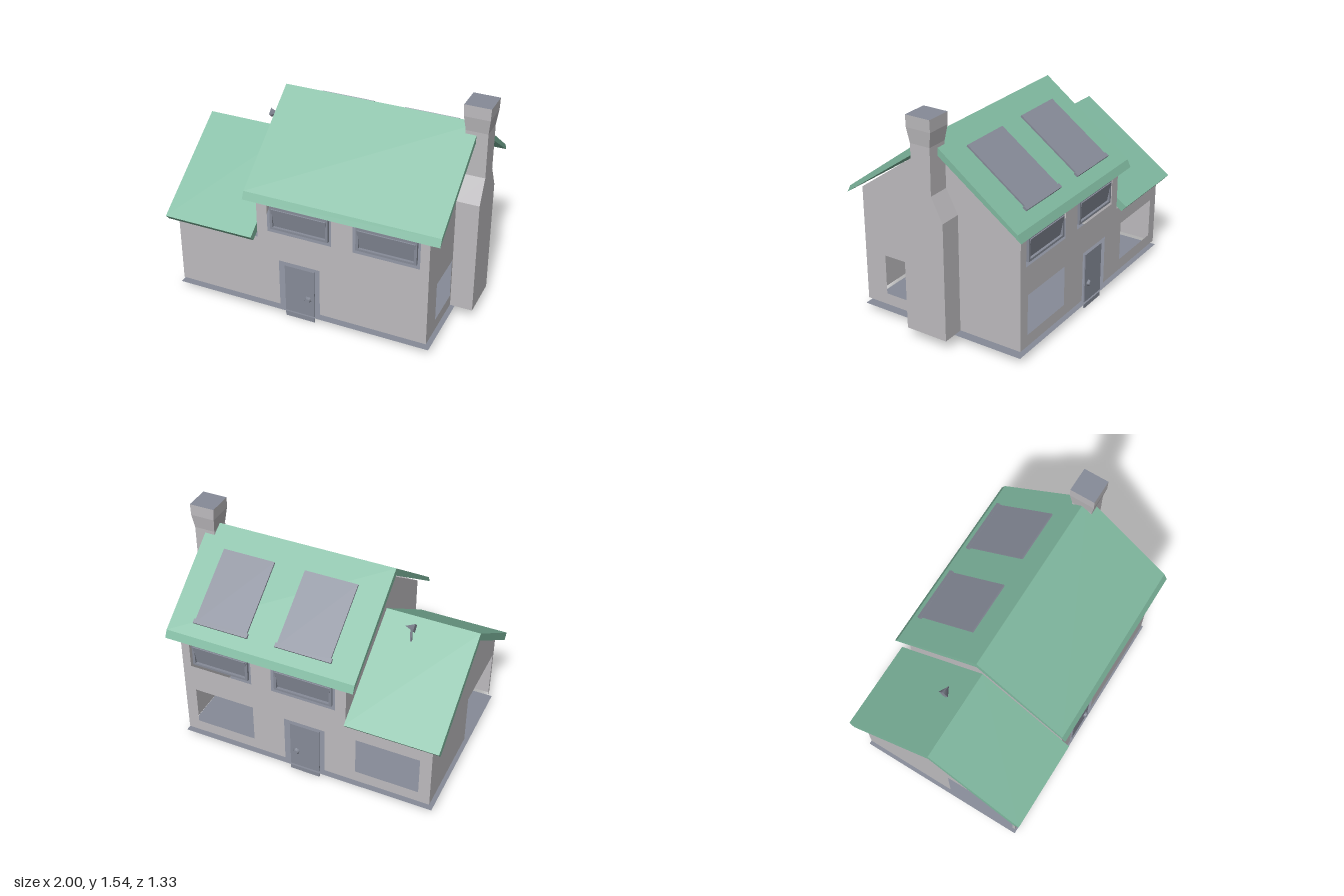
import * as THREE from 'three';

const mat = (name, color, side = THREE.FrontSide) => {
  const m = new THREE.MeshStandardMaterial({ color, side });
  m.name = name;
  return m;
};

const rect = (C, x0, x1, y0, y1) => {
  const s = new C();
  s.moveTo(x0, y0); s.lineTo(x1, y0); s.lineTo(x1, y1); s.lineTo(x0, y1); s.closePath();
  return s;
};
const poly = (pts) => new THREE.Shape(pts.map(([x, y]) => new THREE.Vector2(x, y)));

// Triangles from points and convex faces
function faces(points, list) {
  const pos = [];
  for (const f of list)
    for (let i = 1; i < f.length - 1; i++) pos.push(...points[f[0]], ...points[f[i]], ...points[f[i + 1]]);
  const g = new THREE.BufferGeometry();
  g.setAttribute('position', new THREE.Float32BufferAttribute(pos, 3));
  g.computeVertexNormals();
  return g;
}

export function createModel() {
  const house = new THREE.Group();
  house.name = 'house';
  const wall = mat('wall grey', 0xbdbbbe, THREE.DoubleSide);
  const green = mat('roof green', 0x80b9a0);
  const slate = mat('slate grey', 0x868b98);

  const add = (name, geo, material, parent = house) => {
    const m = new THREE.Mesh(geo, material);
    m.name = name;
    parent.add(m);
    return m;
  };
  const box = (name, w, h, d, x, y, z, parent = house) => {
    const m = add(name, new THREE.BoxGeometry(w, h, d), slate, parent);
    m.position.set(x, y, z);
    return m;
  };

  const windowXs = [-0.05, 0.545];

  // Long walls with a doorway notch and upper window openings
  const longWall = (name, z, lowerWindows) => {
    const s = poly([[-0.94, 0.08], [-0.2, 0.08], [-0.2, 0.43], [0.09, 0.43], [0.09, 0.08],
      [0.83, 0.08], [0.83, 0.89], [-0.35, 0.89], [-0.35, 0.575], [-0.94, 0.575]]);
    for (const x of windowXs) s.holes.push(rect(THREE.Path, x - 0.225, x + 0.225, 0.64, 0.86));
    for (const [a, b] of lowerWindows) s.holes.push(rect(THREE.Path, a, b, 0.16, 0.44));
    add(name, new THREE.ShapeGeometry(s), wall).position.z = z;
  };
  longWall('frontWall', 0.6, []);
  longWall('backWall', -0.6, [[0.32, 0.75], [-0.86, -0.42]]);

  // Gable walls, drawn as (z, y) outlines
  const gable = (name, x, shape) => {
    const m = add(name, new THREE.ShapeGeometry(shape), wall);
    m.rotation.y = -Math.PI / 2;
    m.position.x = x;
  };
  const right = poly([[-0.6, 0.08], [0.6, 0.08], [0.6, 0.89], [0, 1.32], [-0.6, 0.89]]);
  right.holes.push(rect(THREE.Path, 0.16, 0.44, 0.16, 0.44));
  gable('rightGable', 0.83, right);
  gable('wingGable', -0.94, poly([[-0.6, 0.08], [0.07, 0.08], [0.07, 0.44], [0.58, 0.44],
    [0.58, 0.08], [0.6, 0.08], [0.6, 0.575], [0, 1.0], [-0.6, 0.575]]));
  gable('upperLeftGable', -0.35, poly([[-0.6, 0.575], [0, 1.0], [0.6, 0.575], [0.6, 0.89],
    [0, 1.32], [-0.6, 0.89]]));

  // Pitched roofs: chevron profiles extruded along x
  const roof = (name, x0, x1, ridge, under, outer, tip) => {
    const [oz, oy] = outer, [tz, ty] = tip;
    const s = poly([[-tz, ty], [0, under], [tz, ty], [oz, oy], [0, ridge], [-oz, oy]]);
    const g = new THREE.ExtrudeGeometry(s, { depth: x1 - x0, bevelEnabled: false });
    g.rotateY(Math.PI / 2);
    g.translate(x0, 0, 0);
    add(name, g, green);
  };
  roof('mainRoof', -0.42, 0.91, 1.39, 1.335, [0.63, 0.92], [0.655, 0.87]);
  roof('wingRoof', -1.0, -0.365, 1.065, 1.01, [0.665, 0.6], [0.63, 0.56]);

  // Floor slab with a shallow hipped underside
  const t = 0.045;
  add('floor', faces(
    [[-0.96, t, 0.61], [0.85, t, 0.61], [0.85, t, -0.61], [-0.96, t, -0.61], [-0.25, 0.004, 0], [0.2, 0.004, 0]],
    [[0, 1, 2, 3], [0, 4, 5, 1], [1, 5, 2], [2, 5, 4, 3], [3, 4, 0]]), slate);

  // Chimney lofted through rectangular sections: y, x0, x1, half depth
  const sections = [[0.08, 0.832, 0.985, 0.15], [0.89, 0.832, 0.985, 0.15], [1.05, 0.835, 0.985, 0.07],
    [1.36, 0.84, 0.985, 0.072], [1.46, 0.828, 0.997, 0.088], [1.54, 0.825, 1.0, 0.088]];
  const pts = [], sides = [];
  sections.forEach(([y, x0, x1, h], i) => {
    pts.push([x0, y, h], [x1, y, h], [x1, y, -h], [x0, y, -h]);
    if (i) for (let k = 0; k < 4; k++) {
      const a = 4 * (i - 1) + k, b = 4 * (i - 1) + (k + 1) % 4;
      sides.push([a, b, b + 4, a + 4]);
    }
  });
  add('chimney', faces(pts, sides), wall);
  const n = pts.length;
  add('chimneyCaps', faces(pts, [[n - 4, n - 3, n - 2, n - 1], [3, 2, 1, 0]]), slate);

  // Doors and upper windows on both long sides
  for (const [side, s] of [['front', 1], ['back', -1]]) {
    box(side + 'Door', 0.21, 0.4, 0.008, -0.055, 0.2, s * 0.594);
    const knob = add(side + 'DoorKnob', new THREE.CylinderGeometry(0.018, 0.026, 0.02, 5), slate);
    knob.rotation.x = s * Math.PI / 2;
    knob.position.set(0.005, 0.175, s * 0.606);
    for (const x of windowXs) {
      const win = new THREE.Group();
      win.name = side + 'Window';
      win.position.set(x, 0.75, s * 0.595);
      house.add(win);
      const ring = rect(THREE.Shape, -0.203, 0.203, -0.085, 0.085);
      ring.holes.push(rect(THREE.Path, -0.185, 0.185, -0.07, 0.06));
      const g = new THREE.ExtrudeGeometry(ring, { depth: 0.02, bevelEnabled: false });
      g.translate(0, 0, -0.01);
      add('windowFrame', g, slate, win);
      const pane = box('windowPane', 0.385, 0.145, 0.008, 0, -0.005, 0, win);
      pane.rotation.x = s * 0.18;
    }
  }

  // Raised panels on the back roof slope
  for (const x of [-0.045, 0.54]) {
    const panel = new THREE.Group();
    panel.name = 'roofPanel';
    panel.position.set(x, 1.15, -0.365);
    panel.rotation.x = -Math.atan2(0.31, 0.43);
    house.add(panel);
    box('panelSheet', 0.37, 0.012, 0.53, 0, 0, 0, panel);
    box('panelRail', 0.39, 0.016, 0.03, 0, 0, -0.25, panel);
  }

  // Small vent on the wing roof
  const vent = add('roofVent', new THREE.ConeGeometry(0.035, 0.065, 4), slate);
  vent.rotation.z = -Math.PI / 2;
  vent.position.set(-0.58, 1.075, -0.135);
  box('ventStem', 0.012, 0.12, 0.012, -0.59, 1.01, -0.135);

  return house;
}
